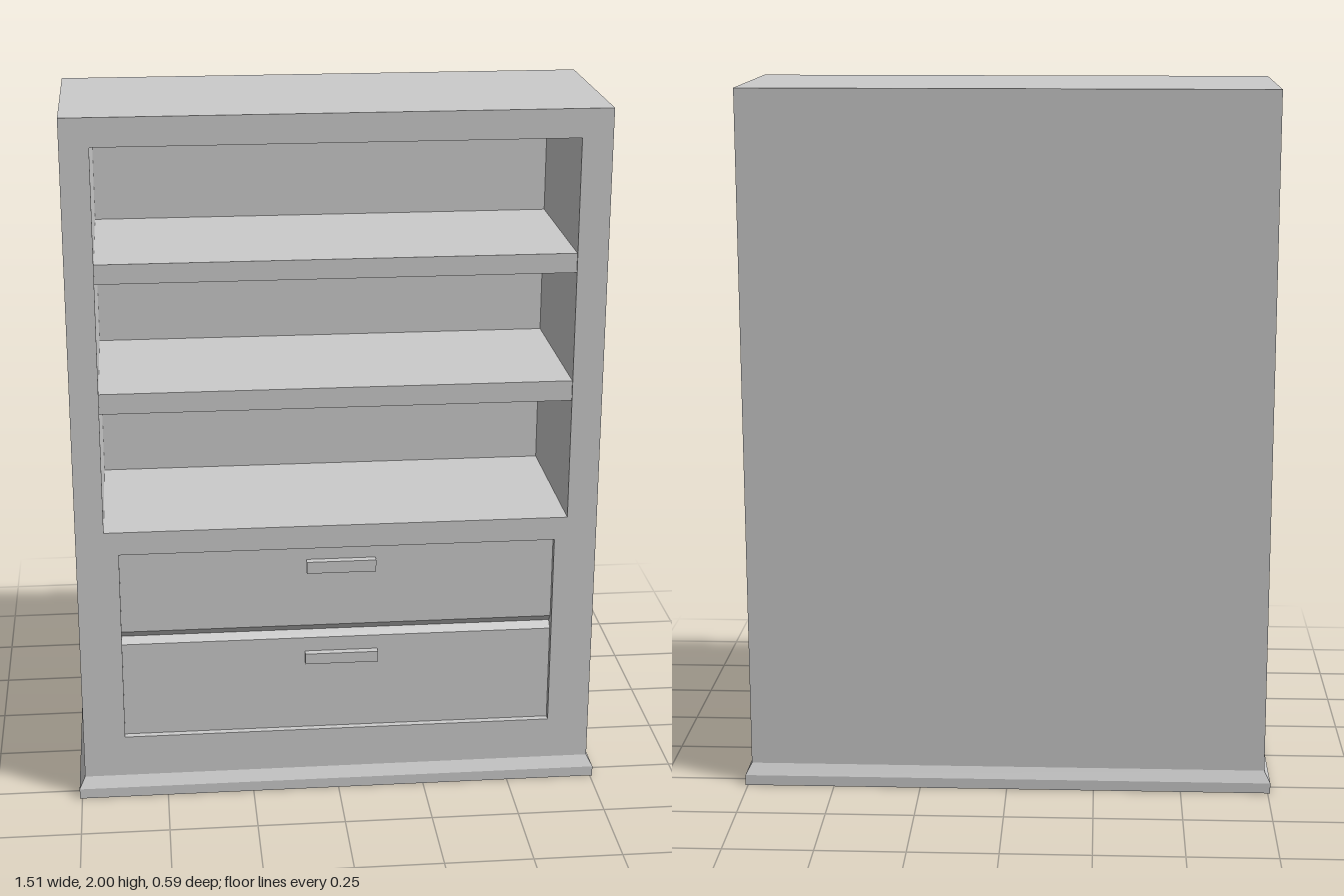
import * as THREE from 'three';

const material = new THREE.MeshStandardMaterial({ color: 0xcccccc, flatShading: true });

function add(group, name, geometry) {
  const mesh = new THREE.Mesh(geometry, material);
  mesh.name = name;
  group.add(mesh);
  return mesh;
}

// Box given by its extents on each axis
function box(x0, x1, y0, y1, z0, z1) {
  return new THREE.BoxGeometry(x1 - x0, y1 - y0, z1 - z0)
    .translate((x0 + x1) / 2, (y0 + y1) / 2, (z0 + z1) / 2);
}

function rectangle(PathType, x0, x1, y0, y1) {
  return new PathType([[x0, y0], [x1, y0], [x1, y1], [x0, y1]].map(p => new THREE.Vector2(...p)));
}

// Profile in (z, y) extruded across x, centred on x = 0
function acrossX(points, width) {
  const shape = new THREE.Shape(points.map(p => new THREE.Vector2(...p)));
  return new THREE.ExtrudeGeometry(shape, { depth: width, bevelEnabled: false })
    .rotateY(-Math.PI / 2)
    .translate(width / 2, 0, 0);
}

export function createModel() {
  const group = new THREE.Group();
  group.name = 'bookcase';
  const W = 0.74, D = 0.28, back = -0.22, face = 0.26;

  // Carcass: frame with a shelf opening and a drawer opening, closed by a back panel
  const frame = rectangle(THREE.Shape, -W, W, 0.03, 2);
  frame.holes.push(rectangle(THREE.Path, -0.66, 0.655, 0.825, 1.92));
  frame.holes.push(rectangle(THREE.Path, -0.62, 0.62, 0.185, 0.757));
  add(group, 'frame', new THREE.ExtrudeGeometry(frame, { depth: D - back, bevelEnabled: false })
    .translate(0, 0, back));
  add(group, 'backPanel', box(-W, W, 0.03, 2, -D, back));

  // Shelves
  for (const [y0, y1] of [[1.175, 1.233], [1.545, 1.6]]) {
    add(group, 'shelf', box(-0.66, 0.655, y0, y1, back, D - 0.005));
  }

  // Drawers, bevelled where they meet
  add(group, 'upperDrawer', acrossX(
    [[back, 0.488], [face - 0.02, 0.488], [face, 0.51], [face, 0.757], [back, 0.757]], 1.24));
  add(group, 'lowerDrawer', acrossX(
    [[back, 0.185], [face, 0.185], [face, 0.47], [face - 0.02, 0.488], [back, 0.488]], 1.24));

  // Handles
  add(group, 'upperHandle', box(-0.09, 0.108, 0.68, 0.715, face, D + 0.002));
  add(group, 'lowerHandle', box(-0.095, 0.115, 0.396, 0.428, face, D + 0.002));

  // Plinth with a sloped upper moulding
  const PX = 0.757, PZ = 0.297;
  add(group, 'plinth', box(-PX, PX, 0, 0.03, -PZ, PZ));
  const moulding = box(-PX, PX, 0.03, 0.062, -PZ, PZ);
  const p = moulding.attributes.position;
  for (let i = 0; i < p.count; i++) {
    if (p.getY(i) > 0.05) {
      p.setX(i, Math.sign(p.getX(i)) * W);
      p.setZ(i, Math.sign(p.getZ(i)) * D);
    }
  }
  moulding.computeVertexNormals();
  add(group, 'plinthMoulding', moulding);

  return group;
}
